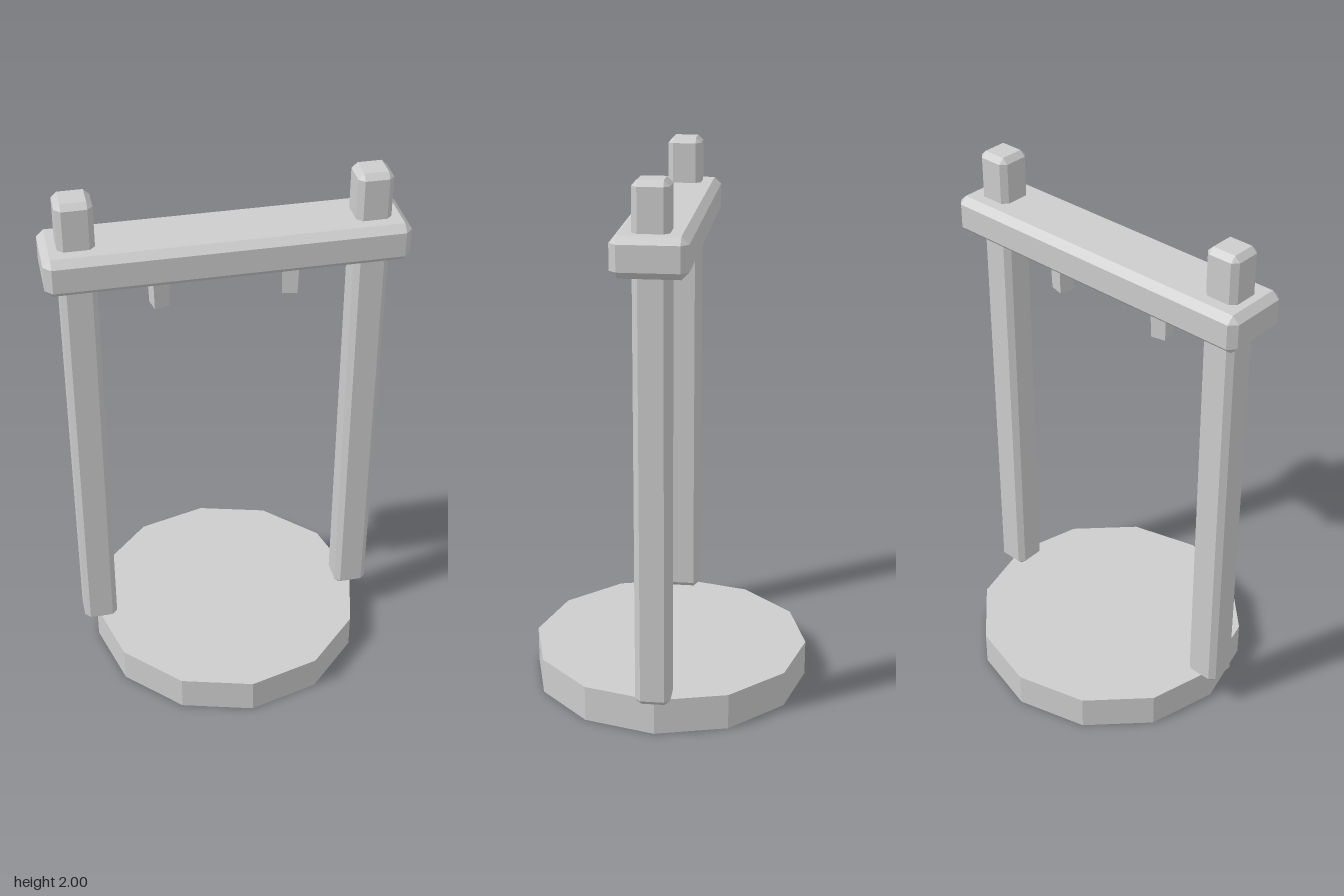
import * as THREE from 'three';
import { ConvexGeometry } from 'three/addons/geometries/ConvexGeometry.js';

// Box with flat bevelled edges, spanning the given ranges
function bevelBox(x0, x1, y0, y1, z0, z1, bx, by, bz) {
  const points = [];
  for (const [x, sx] of [[x0, 1], [x1, -1]])
    for (const [y, sy] of [[y0, 1], [y1, -1]])
      for (const [z, sz] of [[z0, 1], [z1, -1]]) {
        points.push(new THREE.Vector3(x, y + sy * by, z + sz * bz));
        points.push(new THREE.Vector3(x + sx * bx, y, z + sz * bz));
        points.push(new THREE.Vector3(x + sx * bx, y + sy * by, z));
      }
  return new ConvexGeometry(points);
}

// Square peg, narrower at its lower end
function pegGeometry() {
  const geometry = new THREE.BoxGeometry(0.064, 0.16, 0.064);
  const p = geometry.attributes.position;
  for (let i = 0; i < p.count; i++) {
    const s = p.getY(i) < 0 ? 0.84 : 1;
    p.setXYZ(i, p.getX(i) * s, p.getY(i), p.getZ(i) * s);
  }
  geometry.computeVertexNormals();
  return geometry;
}

export function createModel() {
  const group = new THREE.Group();
  const grey = new THREE.MeshStandardMaterial({ color: 0xcccccc, flatShading: true });
  grey.name = 'plain grey';

  const add = (name, geometry) => {
    const mesh = new THREE.Mesh(geometry, grey);
    mesh.name = name;
    group.add(mesh);
    return mesh;
  };

  // Twelve-sided base
  add('base', new THREE.CylinderGeometry(0.525, 0.525, 0.135, 12)).position.y = 0.0675;

  // Upright posts
  add('rightPost', bevelBox(-0.578, -0.45, 0.135, 2, -0.063, 0.063, 0.02, 0.02, 0.02));
  add('leftPost', bevelBox(0.447, 0.573, 0.135, 2, -0.063, 0.063, 0.02, 0.02, 0.02));

  // Crossbeam
  add('crossbeam', bevelBox(-0.633, 0.63, 1.69, 1.83, -0.13, 0.13, 0.026, 0.025, 0.026));

  // Hanging pegs
  for (const [name, x, turn] of [['rightPeg', -0.234, 0.2], ['leftPeg', 0.233, -0.25]]) {
    const peg = add(name, pegGeometry());
    peg.position.set(x, 1.63, 0);
    peg.rotation.y = turn;
  }
  return group;
}
